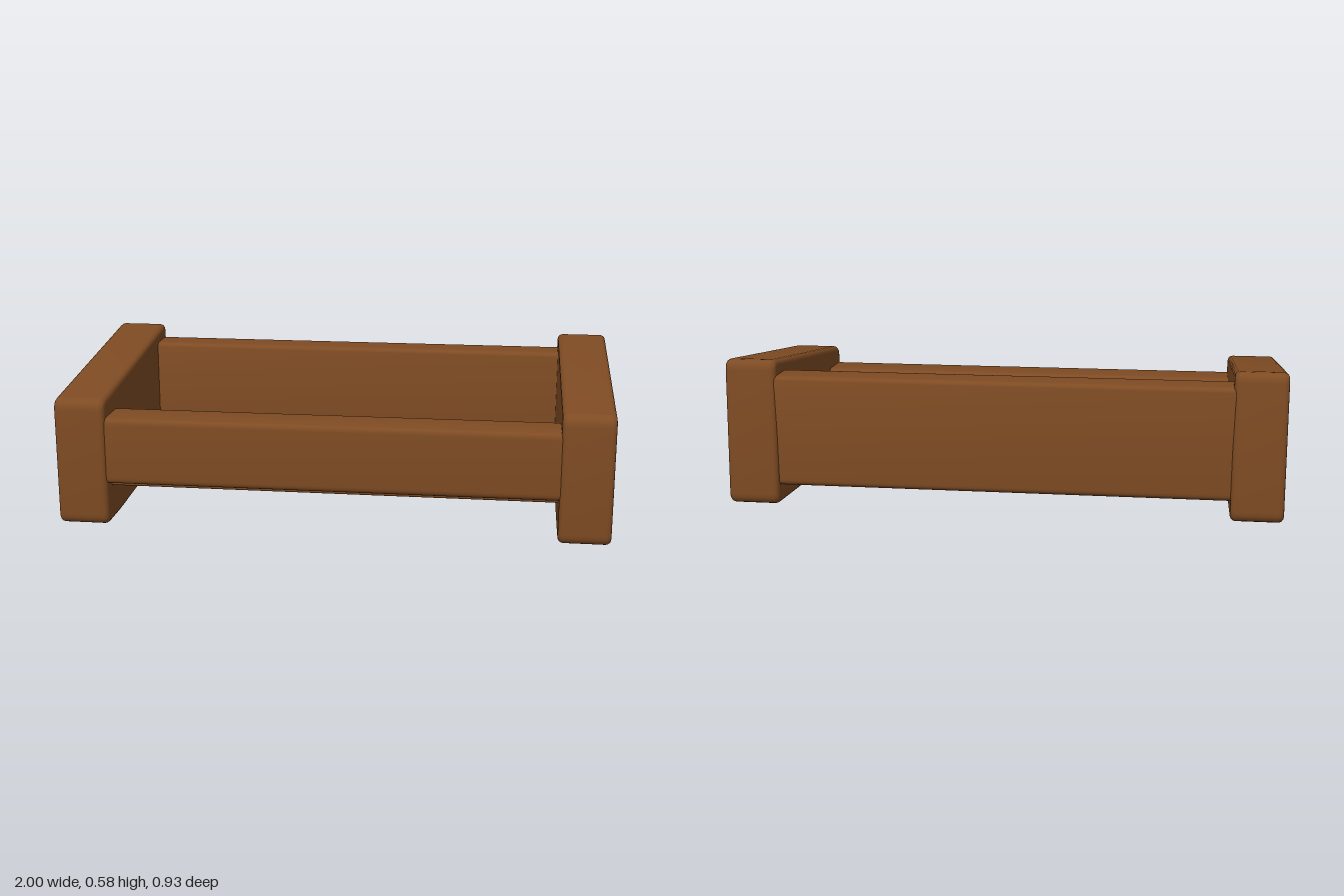
import * as THREE from 'three';
import { toCreasedNormals } from 'three/addons/utils/BufferGeometryUtils.js';

// Closed shape from [z, y] corners, each corner rounded by r
function roundedShape(points, r) {
  const shape = new THREE.Shape();
  const n = points.length;
  const corners = points.map(p => new THREE.Vector2(...p));
  corners.forEach((p, i) => {
    const toward = q => q.clone().sub(p).setLength(r).add(p);
    const a = toward(corners[(i + n - 1) % n]);
    const b = toward(corners[(i + 1) % n]);
    if (i === 0) shape.moveTo(a.x, a.y);
    else shape.lineTo(a.x, a.y);
    shape.quadraticCurveTo(p.x, p.y, b.x, b.y);
  });
  shape.closePath();
  return shape;
}

// Board with a [z, y] profile, running along x about its centre
function board(name, profile, length, x, r, bevel, material) {
  const geometry = new THREE.ExtrudeGeometry(roundedShape(profile, r), {
    depth: length - 2 * bevel,
    curveSegments: 5,
    bevelEnabled: bevel > 0,
    bevelThickness: bevel,
    bevelSize: bevel,
    bevelOffset: -bevel,
    bevelSegments: 4,
  });
  geometry.translate(0, 0, bevel - length / 2);
  geometry.rotateY(-Math.PI / 2);
  const mesh = new THREE.Mesh(toCreasedNormals(geometry, 0.6), material);
  mesh.name = name;
  mesh.position.x = x;
  return mesh;
}

export function createModel() {
  const group = new THREE.Group();
  group.name = 'woodenTray';
  const wood = new THREE.MeshStandardMaterial({ color: 0x7e4b23 });
  wood.name = 'brown wood';

  // Sloping end panels
  const panel = [[0.465, 0], [0.465, 0.47], [-0.443, 0.585], [-0.465, 0.05], [0.28, 0.003]];
  for (const [name, side] of [['leftPanel', 1], ['rightPanel', -1]]) {
    group.add(board(name, panel, 0.187, side * 0.9065, 0.04, 0.02, wood));
  }

  // Rails between the panels
  const frontRail = [[0.455, 0.157], [0.455, 0.405], [0.288, 0.405], [0.288, 0.157]];
  const backRail = [[-0.3, 0.118], [-0.3, 0.525], [-0.442, 0.525], [-0.442, 0.118]];
  group.add(board('frontRail', frontRail, 1.66, 0, 0.025, 0, wood));
  group.add(board('backRail', backRail, 1.66, 0, 0.025, 0, wood));

  // Tray floor
  const floor = [[0.4, 0.135], [0.4, 0.22], [-0.4, 0.22], [-0.4, 0.135]];
  group.add(board('floor', floor, 1.66, 0, 0.01, 0, wood));

  return group;
}
